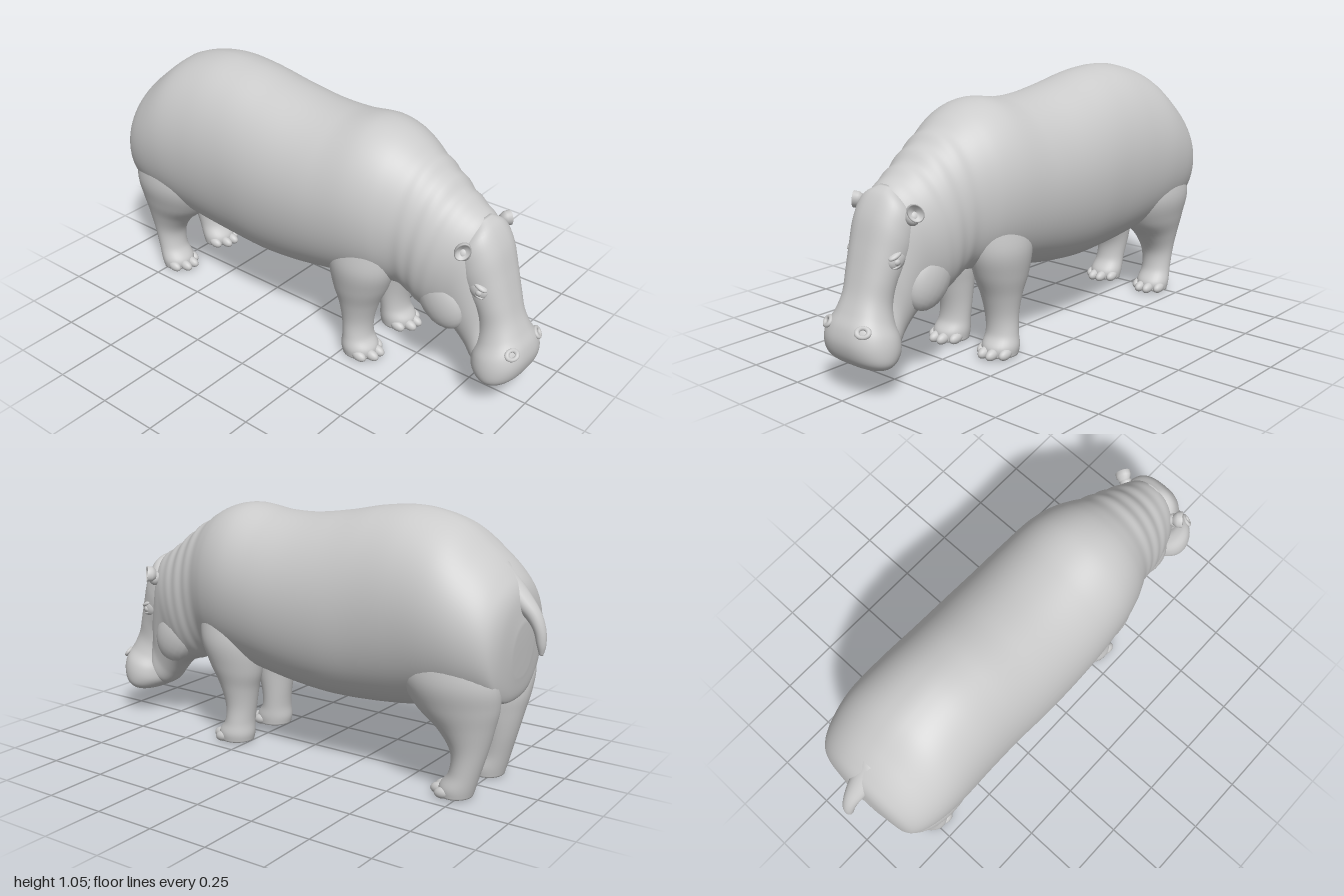
import * as THREE from 'three';

const grey = new THREE.MeshStandardMaterial({ color: 0xcccccc });
const thin = new THREE.MeshStandardMaterial({ color: 0xcccccc, side: THREE.DoubleSide });

// Smooth skin through oval sections [topX, topY, bottomX, bottomY, halfWidth, centreZ].
// lowPower below 1 makes the lower half of each oval fuller; relief scales it locally.
function loft(name, sections, { side = 1, lowPower = 1, upPower = 1, steps = 6, around = 48, relief = () => 1 } = {}) {
  const curve = f => new THREE.CatmullRomCurve3(sections.map(f), false, 'catmullrom');
  const top = curve(s => new THREE.Vector3(s[0], s[1], 0));
  const low = curve(s => new THREE.Vector3(s[2], s[3], 0));
  const wide = curve(s => new THREE.Vector3(s[4], s[5] || 0, 0));
  const rows = (sections.length - 1) * steps;
  const pos = [], index = [];
  for (let i = 0; i <= rows; i++) {
    const t = i / rows, a = top.getPoint(t), b = low.getPoint(t), w = wide.getPoint(t);
    const c = a.clone().add(b).multiplyScalar(0.5), half = a.clone().sub(c);
    for (let j = 0; j < around; j++) {
      const q = (j / around) * Math.PI * 2, cos = Math.cos(q), sin = Math.sin(q);
      const r = relief(t * (sections.length - 1), q);
      const z = Math.sign(sin) * Math.pow(Math.abs(sin), cos < 0 ? lowPower : upPower) * w.x * r;
      pos.push(c.x + half.x * cos * r, c.y + half.y * cos * r, side * w.y + z);
    }
  }
  for (let i = 0; i < rows; i++) for (let j = 0; j < around; j++) {
    const k = (j + 1) % around, p = i * around, n = p + around;
    index.push(p + j, p + k, n + j, p + k, n + k, n + j);
  }
  // end caps
  for (const [row, flip] of [[0, false], [rows, true]]) {
    const p = row * around, centre = pos.length / 3, mid = [0, 0, 0];
    for (let j = 0; j < around; j++) for (let k = 0; k < 3; k++) mid[k] += pos[(p + j) * 3 + k] / around;
    pos.push(...mid);
    for (let j = 0; j < around; j++) {
      const k = (j + 1) % around;
      index.push(centre, p + (flip ? j : k), p + (flip ? k : j));
    }
  }
  const g = new THREE.BufferGeometry();
  g.setAttribute('position', new THREE.Float32BufferAttribute(pos, 3));
  g.setIndex(index);
  g.computeVertexNormals();
  const mesh = new THREE.Mesh(g, grey);
  mesh.name = name;
  return mesh;
}

function ball(name, x, y, z, rx, ry, rz, tilt = 0) {
  const m = new THREE.Mesh(new THREE.SphereGeometry(1, 20, 14), grey);
  m.name = name;
  m.position.set(x, y, z);
  m.scale.set(rx, ry, rz);
  m.rotation.z = tilt;
  return m;
}

// Foot with four rounded toes fanned round its front
function toes(x, z, side) {
  const g = new THREE.Group();
  g.name = 'toes';
  [-0.056, -0.02, 0.02, 0.056].forEach((dz, i) => {
    const back = i === 0 || i === 3 ? 0.035 : 0;
    g.add(ball('toe', x - back, 0.022, side * z + dz, 0.034, 0.022, 0.02, -0.2));
  });
  return g;
}

export function createModel() {
  const model = new THREE.Group();
  model.name = 'hippopotamus';

  // Barrel body, neck and cheeks, ending inside the lower jaw
  model.add(loft('body', [
    [-0.922, 0.66, -0.908, 0.46, 0.08],
    [-0.905, 0.775, -0.895, 0.38, 0.19],
    [-0.86, 0.845, -0.87, 0.36, 0.245],
    [-0.78, 0.92, -0.78, 0.34, 0.28],
    [-0.66, 1.005, -0.66, 0.32, 0.295],
    [-0.5, 1.045, -0.5, 0.292, 0.292],
    [-0.34, 1.038, -0.34, 0.275, 0.29],
    [-0.17, 1.005, -0.17, 0.27, 0.295],
    [0, 0.98, 0, 0.285, 0.295],
    [0.15, 0.978, 0.15, 0.31, 0.29],
    [0.3, 0.996, 0.3, 0.335, 0.275],
    [0.41, 0.972, 0.4, 0.35, 0.248],
    [0.5, 0.92, 0.47, 0.355, 0.212],
    [0.58, 0.872, 0.52, 0.325, 0.195],
    [0.66, 0.81, 0.565, 0.295, 0.185],
    [0.73, 0.765, 0.61, 0.28, 0.17],
    [0.79, 0.72, 0.65, 0.265, 0.15],
    [0.82, 0.62, 0.68, 0.25, 0.135],
    [0.84, 0.5, 0.71, 0.225, 0.12],
    [0.85, 0.39, 0.745, 0.185, 0.105],
    [0.86, 0.28, 0.785, 0.14, 0.1],
    [0.86, 0.22, 0.82, 0.125, 0.06],
  ], {
    lowPower: 0.8, upPower: 0.95, around: 72, steps: 8,
    // neck folds fade out towards the chest; a low ridge runs down the back
    relief: (s, q) => {
      const neck = Math.exp(-(((s - 13.4) / 1.5) ** 2)) * (0.55 + 0.45 * Math.cos(q));
      const away = Math.min(q, Math.PI * 2 - q);
      const ridge = Math.exp(-((away / 0.07) ** 2)) * Math.exp(-(((s - 4) / 2) ** 2));
      return 1 + 0.016 * neck * Math.sin(s * 6.6) + 0.008 * ridge;
    },
  }));

  // Forehead, narrow bridge and broad overhanging muzzle
  model.add(loft('snout', [
    [0.77, 0.742, 0.68, 0.66, 0.05],
    [0.815, 0.712, 0.68, 0.57, 0.115],
    [0.857, 0.64, 0.70, 0.49, 0.125],
    [0.887, 0.54, 0.73, 0.44, 0.117],
    [0.912, 0.45, 0.775, 0.38, 0.105],
    [0.935, 0.375, 0.79, 0.31, 0.1],
    [0.963, 0.315, 0.79, 0.25, 0.116],
    [0.99, 0.265, 0.785, 0.2, 0.146],
    [1.0, 0.21, 0.79, 0.155, 0.156],
    [0.985, 0.155, 0.82, 0.122, 0.148],
    [0.95, 0.12, 0.855, 0.108, 0.115],
    [0.92, 0.112, 0.885, 0.108, 0.05],
  ], { upPower: 0.7, lowPower: 0.8 }));

  // Tail, flattened against the rump at its root
  model.add(loft('tail', [
    [-0.80, 0.83, -0.835, 0.875, 0.05],
    [-0.86, 0.73, -0.925, 0.77, 0.045],
    [-0.92, 0.68, -0.973, 0.705, 0.032],
    [-0.95, 0.64, -0.995, 0.645, 0.025],
    [-0.964, 0.59, -0.999, 0.59, 0.018],
    [-0.975, 0.553, -0.99, 0.55, 0.007],
  ], { around: 24 }));

  for (const side of [1, -1]) {
    model.add(loft('foreLeg', [
      [0.46, 0.56, 0.2, 0.56, 0.07, 0.16],
      [0.46, 0.44, 0.18, 0.44, 0.1, 0.148],
      [0.43, 0.345, 0.19, 0.32, 0.095, 0.135],
      [0.385, 0.25, 0.213, 0.24, 0.079, 0.127],
      [0.358, 0.16, 0.228, 0.16, 0.068, 0.124],
      [0.358, 0.09, 0.236, 0.09, 0.068, 0.128],
      [0.385, 0.045, 0.234, 0.04, 0.074, 0.132],
      [0.385, 0.006, 0.24, 0.006, 0.07, 0.132],
    ], { side, around: 32 }));
    model.add(toes(0.382, 0.132, side));

    model.add(loft('hindLeg', [
      [-0.52, 0.6, -0.86, 0.6, 0.08, 0.17],
      [-0.5, 0.46, -0.895, 0.46, 0.115, 0.155],
      [-0.555, 0.345, -0.892, 0.365, 0.112, 0.135],
      [-0.65, 0.26, -0.872, 0.28, 0.09, 0.128],
      [-0.705, 0.18, -0.848, 0.19, 0.072, 0.126],
      [-0.705, 0.1, -0.822, 0.1, 0.066, 0.13],
      [-0.67, 0.045, -0.805, 0.04, 0.073, 0.132],
      [-0.67, 0.006, -0.795, 0.006, 0.069, 0.132],
    ], { side, around: 32 }));
    model.add(toes(-0.668, 0.132, side));

    // Ear: stalk and open cup turned outwards and forwards
    const ear = new THREE.Group();
    ear.name = 'ear';
    const profile = [[0, -0.03], [0.018, -0.025], [0.027, -0.008], [0.028, 0.012], [0.024, 0.013], [0.018, 0], [0, -0.012]];
    const cup = new THREE.Mesh(new THREE.LatheGeometry(profile.map(p => new THREE.Vector2(...p)), 24), thin);
    cup.name = 'earCup';
    cup.scale.z = 1.25;
    cup.quaternion.setFromUnitVectors(new THREE.Vector3(0, 1, 0), new THREE.Vector3(0.6, 0.1, side * 0.8).normalize());
    cup.position.set(0.768, 0.662, side * 0.152);
    ear.add(cup, ball('earBase', 0.76, 0.64, side * 0.128, 0.025, 0.03, 0.028));
    model.add(ear);

    // Eye in a raised socket with brow and lower lid
    model.add(ball('eyeSocket', 0.815, 0.497, side * 0.102, 0.042, 0.036, 0.022, -0.6));
    model.add(ball('eye', 0.826, 0.492, side * 0.114, 0.015, 0.014, 0.013));
    model.add(ball('brow', 0.828, 0.514, side * 0.108, 0.03, 0.011, 0.018, -0.4));
    model.add(ball('lowerLid', 0.822, 0.475, side * 0.108, 0.024, 0.008, 0.014, -0.3));

    // Jowl behind the mouth corner
    model.add(ball('jowl', 0.665, 0.4, side * 0.105, 0.1, 0.13, 0.06, 0.5));

    // Nostril rim on the upper corner of the muzzle
    const nostril = new THREE.Mesh(new THREE.TorusGeometry(0.017, 0.008, 10, 24), grey);
    nostril.name = 'nostril';
    nostril.position.set(0.972, 0.268, side * 0.092);
    nostril.lookAt(1.5, 0.7, side * 0.35);
    nostril.scale.x = 1.3;
    model.add(nostril);
  }
  return model;
}
